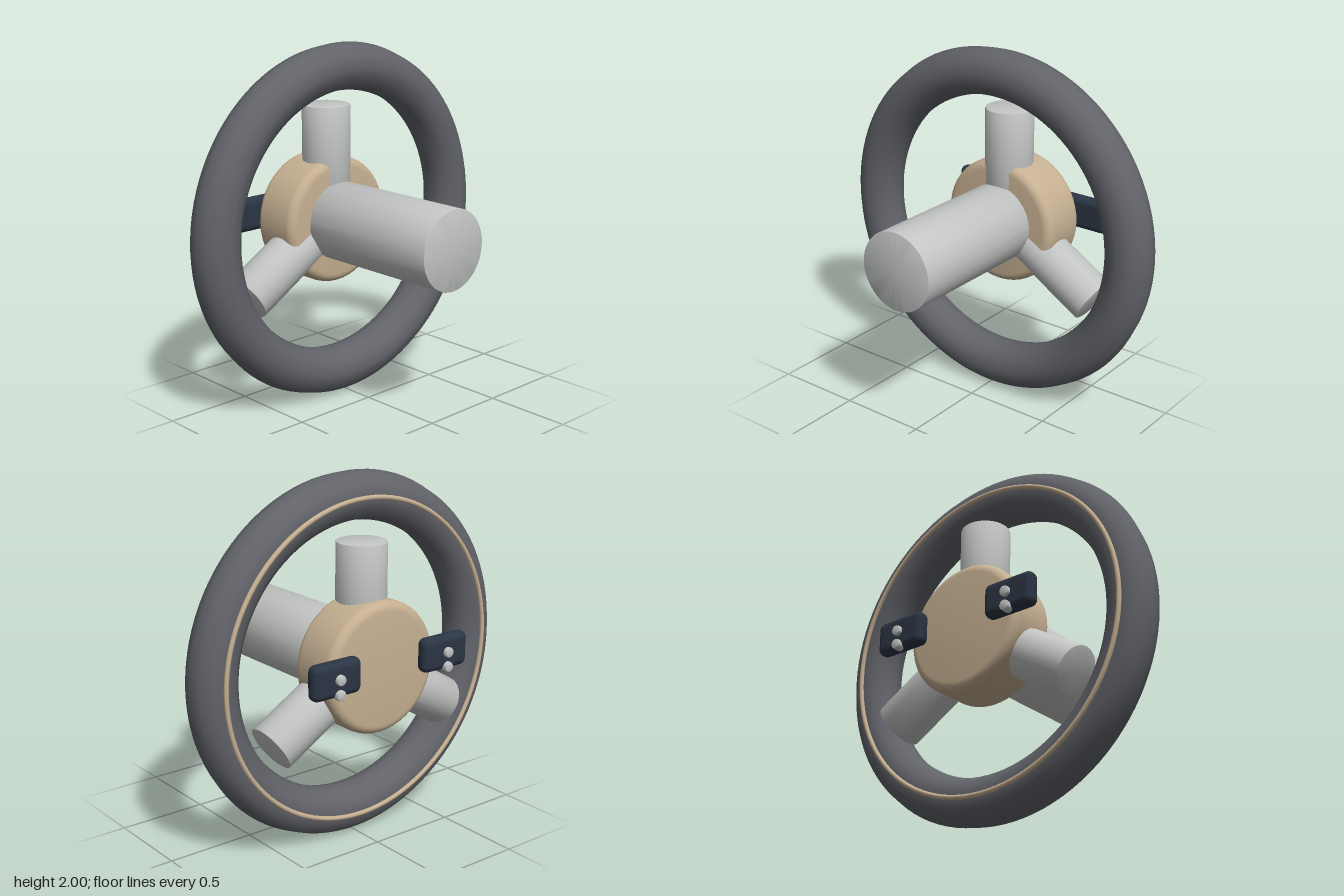
import * as THREE from 'three';
import { toCreasedNormals } from 'three/addons/utils/BufferGeometryUtils.js';
import { RoundedBoxGeometry } from 'three/addons/geometries/RoundedBoxGeometry.js';

const rimGrey = new THREE.MeshStandardMaterial({ name: 'rimGrey', color: 0x62646a });
const silver = new THREE.MeshStandardMaterial({ name: 'silver', color: 0xc2c5c3 });
const tan = new THREE.MeshStandardMaterial({ name: 'tan', color: 0xc6b092 });
const navy = new THREE.MeshStandardMaterial({ name: 'navy', color: 0x2b3544 });

// Solid cylinder along y from y0 to y1 with rounded edges
function roundedCylinder(radius, y0, y1, round, steps, sides = 48) {
  const points = [new THREE.Vector2(0, y0)];
  for (const [y, start] of [[y0 + round, -Math.PI / 2], [y1 - round, 0]]) {
    for (let i = 0; i <= steps; i++) {
      const a = start + (i / steps) * Math.PI / 2;
      points.push(new THREE.Vector2(radius - round + round * Math.cos(a), y + round * Math.sin(a)));
    }
  }
  points.push(new THREE.Vector2(0, y1));
  return toCreasedNormals(new THREE.LatheGeometry(points, sides), 0.5);
}

function add(parent, name, geometry, material, x = 0, y = 0, z = 0) {
  const mesh = new THREE.Mesh(geometry, material);
  mesh.name = name;
  mesh.position.set(x, y, z);
  parent.add(mesh);
  return mesh;
}

export function createModel() {
  const model = new THREE.Group();
  model.name = 'steeringWheel';

  // Rim with a thin trim ring on its back
  add(model, 'rim', new THREE.TorusGeometry(0.868, 0.132, 12, 96), rimGrey, 0, 1, -0.233);
  add(model, 'trimRing', new THREE.TorusGeometry(0.873, 0.013, 10, 96), tan, 0, 1, -0.367);

  // Hub and steering column, both along z
  const hub = roundedCylinder(0.36, -0.53, -0.23, 0.05, 6).rotateX(Math.PI / 2);
  add(model, 'hub', hub, tan, 0, 1, 0);
  const column = roundedCylinder(0.222, -0.32, 0.635, 0.006, 2).rotateX(Math.PI / 2);
  add(model, 'column', column, silver, 0, 1.003, 0);

  // Three spokes
  const spokes = [['topSpoke', 0, 0.65], ['leftSpoke', -121, 0.69], ['rightSpoke', 121, 0.69]];
  for (const [name, degrees, length] of spokes) {
    const spoke = add(model, name, roundedCylinder(0.136, 0.08, length, 0.006, 2, 32), silver, 0, 1, -0.34);
    spoke.rotation.z = THREE.MathUtils.degToRad(degrees);
  }

  // Control pads behind the hub, each with two buttons
  for (const side of [1, -1]) {
    const control = new THREE.Group();
    control.name = side > 0 ? 'leftControl' : 'rightControl';
    control.position.set(side * 0.365, 1.04, -0.577);
    add(control, 'pad', new RoundedBoxGeometry(0.306, 0.19, 0.083, 4, 0.038), navy);
    for (const y of [0.005, -0.075]) {
      const button = roundedCylinder(0.028, -0.063, -0.01, 0.006, 2, 20).rotateX(Math.PI / 2);
      add(control, 'button', button, silver, 0, y, 0);
    }
    model.add(control);
  }
  return model;
}
